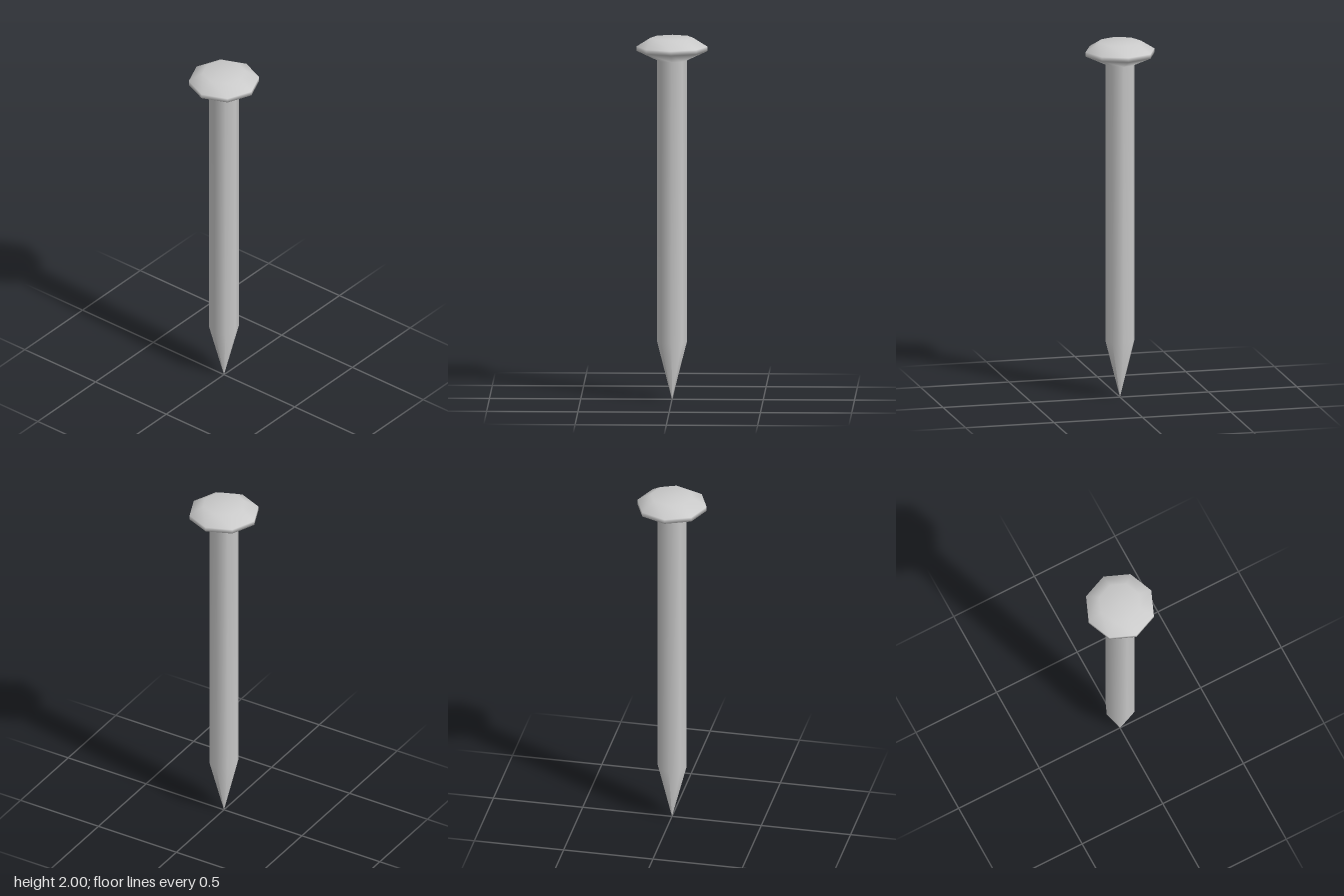
import * as THREE from 'three';

// Eight-sided nail: pointed tip, straight shank and bevelled head in one smooth skin
export function createModel() {
  const profile = [
    [0, 0],          // tip
    [0.082, 0.32],   // end of the point
    [0.082, 1.875],  // shank meets head
    [0.194, 1.927],  // lower rim
    [0.194, 1.952],  // upper rim
    [0.117, 2],      // edge of the flat top
    [0, 2],
  ].map(([r, y]) => new THREE.Vector2(r, y));

  const nail = new THREE.Mesh(
    new THREE.LatheGeometry(profile, 8),
    new THREE.MeshStandardMaterial({ color: 0xcccccc })
  );
  nail.name = 'nail';

  const group = new THREE.Group();
  group.add(nail);
  return group;
}
